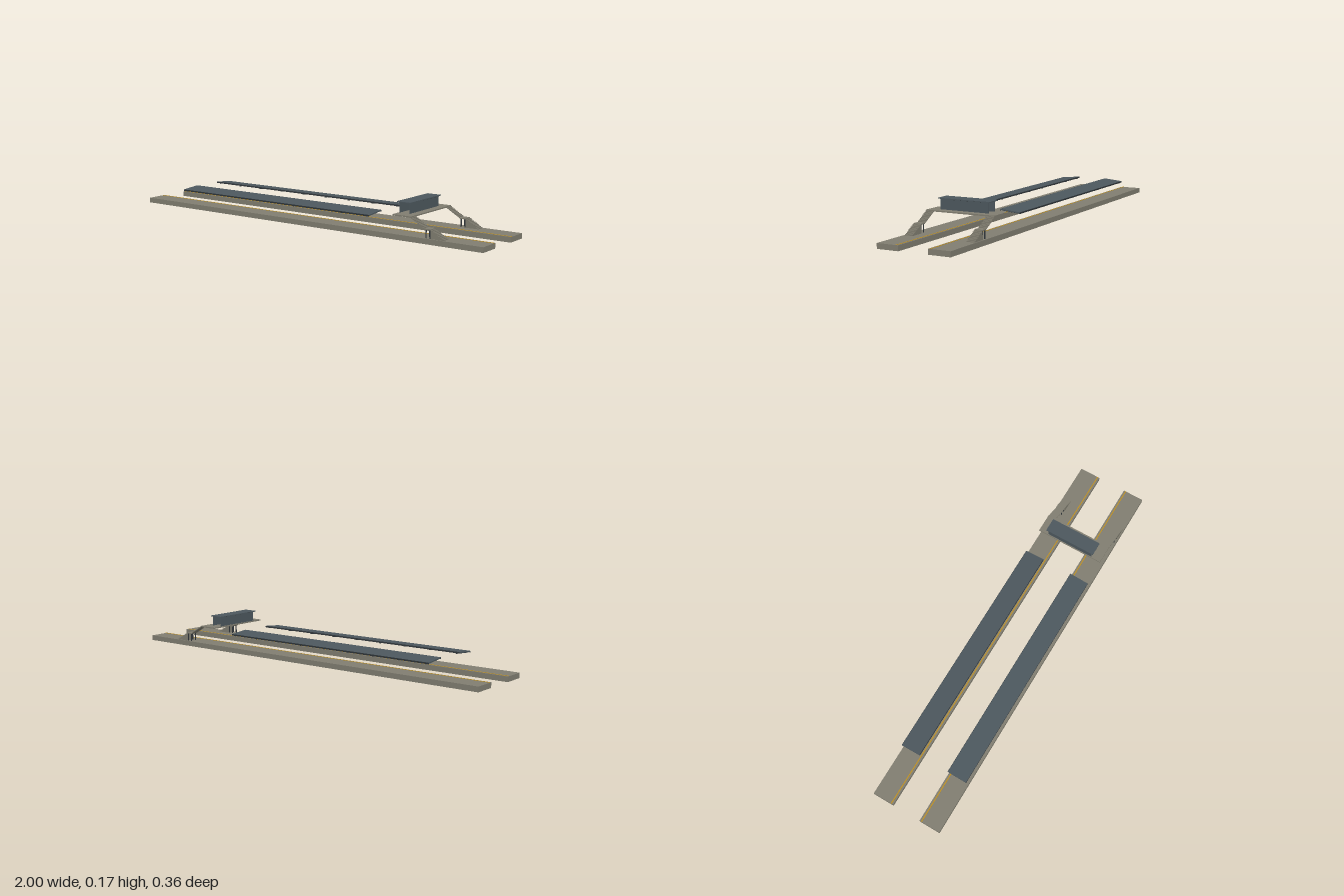
import * as THREE from 'three';

const material = (name, color) => {
  const m = new THREE.MeshStandardMaterial({ color });
  m.name = name;
  return m;
};

export function createModel() {
  const concrete = material('concrete', 0x807d70);
  const slate = material('slate cladding', 0x4c575d);
  const steel = material('dark steel', 0x30363a);
  const yellow = material('safety yellow', 0xbf9020);
  const root = new THREE.Group();
  root.name = 'railwayStation';

  // Box given by its minimum and maximum corners
  function box(parent, name, mat, [x0, y0, z0], [x1, y1, z1]) {
    const mesh = new THREE.Mesh(new THREE.BoxGeometry(x1 - x0, y1 - y0, z1 - z0), mat);
    mesh.position.set((x0 + x1) / 2, (y0 + y1) / 2, (z0 + z1) / 2);
    mesh.name = name;
    parent.add(mesh);
    return mesh;
  }

  // Side profile in x and y, extruded from z0 to z1
  function profile(parent, name, mat, points, z0, z1) {
    const shape = new THREE.Shape(points.map(([x, y]) => new THREE.Vector2(x, y)));
    const geo = new THREE.ExtrudeGeometry(shape, { depth: z1 - z0, bevelEnabled: false });
    const mesh = new THREE.Mesh(geo, mat);
    mesh.position.z = z0;
    mesh.name = name;
    parent.add(mesh);
  }

  // Stepped line descending from (x0, y0) to (x1, y1)
  function steps(x0, y0, x1, y1, count) {
    const points = [[x0, y0]];
    const run = (x1 - x0) / count, rise = (y0 - y1) / count;
    for (let i = 0; i < count; i++) {
      points.push([x0 + i * run, y0 - (i + 1) * rise]);
      points.push([x0 + (i + 1) * run, y0 - (i + 1) * rise]);
    }
    return points;
  }

  // Both sides share one layout, mirrored in z
  for (const s of [1, -1]) {
    const side = new THREE.Group();
    side.name = s > 0 ? 'frontSide' : 'backSide';
    root.add(side);
    const span = (a, b) => (s > 0 ? [a, b] : [-b, -a]);
    const part = (name, mat, x0, x1, y0, y1, za, zb) => {
      const [z0, z1] = span(za, zb);
      return box(side, name, mat, [x0, y0, z0], [x1, y1, z1]);
    };

    // Platform with a safety line by the track
    part('platform', concrete, -1, 1, 0, 0.025, 0.073, 0.181);
    part('safetyLine', yellow, -1, 1, 0.025, 0.0262, 0.081, 0.086);

    // Canopy, sloping down away from the track
    const canopy = new THREE.Group();
    canopy.name = 'canopy';
    canopy.position.set(-0.167, 0.0955, s * 0.127);
    canopy.rotation.x = s * 0.092;
    side.add(canopy);
    box(canopy, 'canopyRoof', slate, [-0.582, -0.002, -0.049], [0.582, 0.0038, 0.049]);
    for (const e of [-1, 1]) {
      box(canopy, 'canopyFascia', steel, [-0.582, -0.0035, e * 0.0495 - 0.001], [0.582, 0.0035, e * 0.0495 + 0.001]);
    }
    for (let i = 0; i < 9; i++) {
      const x = -0.564 + i * 0.141;
      box(canopy, 'canopyBeam', steel, [x - 0.003, -0.0065, -0.046], [x + 0.003, -0.002, 0.046]);
    }

    // Stairs: upper flight, landing and solid lower flight
    const [z0, z1] = span(0.135, 0.175);
    profile(side, 'upperFlight', concrete,
      [...steps(0.635, 0.113, 0.711, 0.068, 10), [0.711, 0.063], [0.635, 0.107]], z0, z1);
    part('landing', concrete, 0.709, 0.739, 0.063, 0.068, 0.135, 0.175);
    profile(side, 'lowerFlight', concrete,
      [...steps(0.738, 0.068, 0.812, 0.025, 10), [0.738, 0.025]], z0, z1);
    for (const x of [0.711, 0.732]) {
      for (const z of [0.138, 0.168]) {
        part('landingPost', steel, x, x + 0.004, 0.025, 0.063, z, z + 0.004);
      }
    }
  }

  // Footbridge over the track, with open ends
  const bridge = new THREE.Group();
  bridge.name = 'footbridge';
  root.add(bridge);
  box(bridge, 'bridgeDeck', concrete, [0.54, 0.107, -0.175], [0.637, 0.113, 0.175]);
  for (const x of [0.544, 0.597]) {
    box(bridge, 'bridgeWall', slate, [x, 0.113, -0.123], [x + 0.003, 0.161, 0.123]);
  }
  box(bridge, 'bridgeRoof', slate, [0.535, 0.161, -0.133], [0.606, 0.165, 0.133]);
  for (let i = 0; i < 8; i++) {
    const z = -0.119 + i * 0.034;
    box(bridge, 'roofBeam', steel, [0.537, 0.159, z - 0.0015], [0.604, 0.161, z + 0.0015]);
  }
  return root;
}
